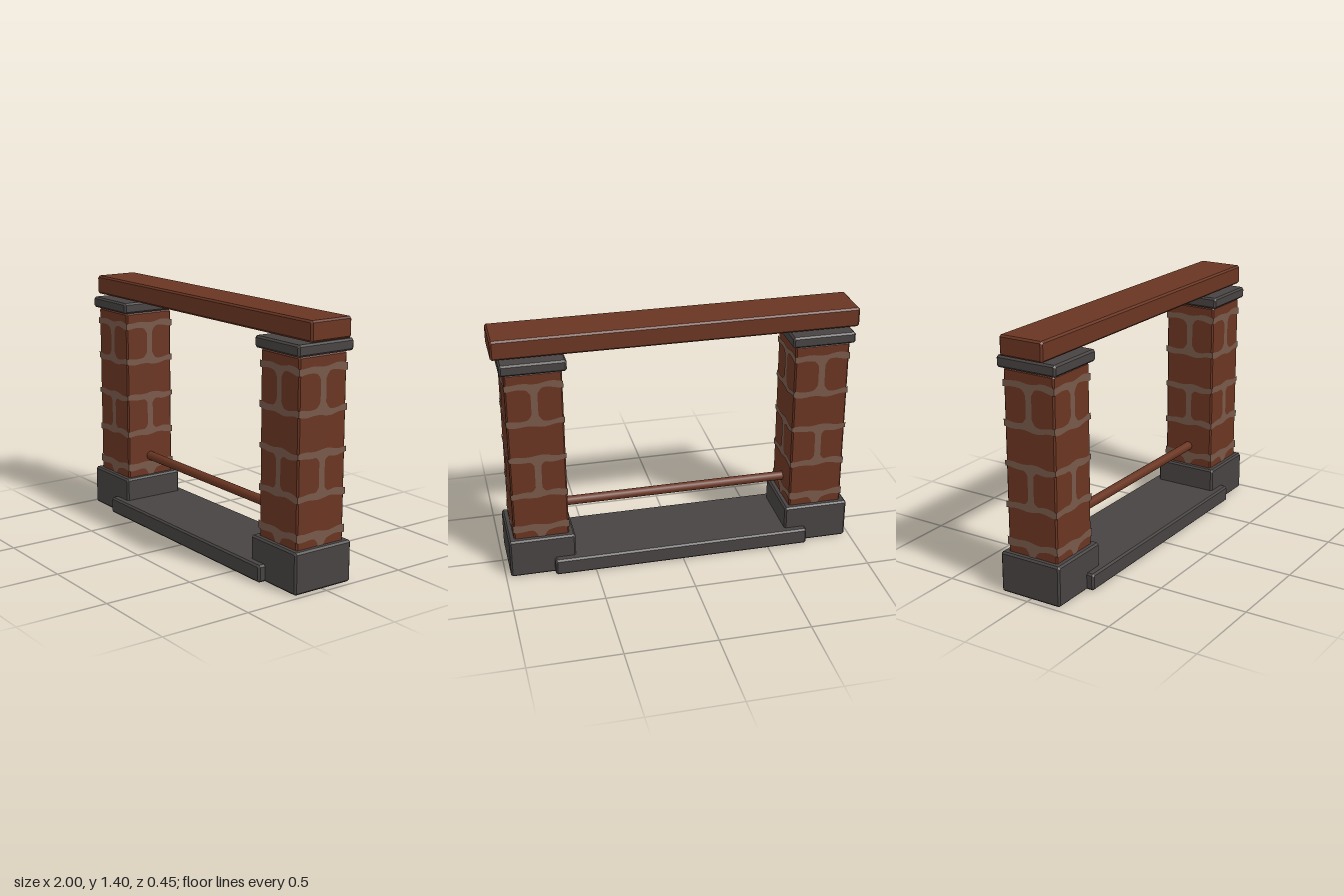
import * as THREE from 'three';

const material = (name, color) => {
  const m = new THREE.MeshStandardMaterial({ color });
  m.name = name;
  return m;
};

// Box with chamfered edges on all sides, centred on its own origin
function chamferBox(w, h, d, b = 0.01) {
  const x = w / 2 - b, y = h / 2 - b, c = b * 0.414;
  const shape = new THREE.Shape([
    [x - c, -y], [x, -y + c], [x, y - c], [x - c, y],
    [-x + c, y], [-x, y - c], [-x, -y + c], [-x + c, -y],
  ].map(([px, py]) => new THREE.Vector2(px, py)));
  const geo = new THREE.ExtrudeGeometry(shape, {
    depth: d - 2 * b, bevelEnabled: true, bevelSize: b, bevelThickness: b, bevelSegments: 1,
  });
  return geo.translate(0, 0, -d / 2 + b);
}

// Uneven mortar: two wavy bed joints linked by a flared vertical joint
function mortarShape(half, top, bottom, band, closed) {
  const stem = 0.018, flare = 0.03, steps = 12, pts = [];
  const wave = (x, k) => 0.005 * Math.sin((x / half) * Math.PI * 2 + k) + 0.003 * Math.cos((x / half) * Math.PI + k);
  const edge = (x0, x1, y, k) => {
    for (let i = 0; i <= steps; i++) {
      const x = x0 + ((x1 - x0) * i) / steps;
      const near = Math.max(0, 1 - (Math.abs(x) - stem) / flare);
      const pull = k.flare ? k.flare * near * near * flare : 0;
      pts.push(new THREE.Vector2(x, y + wave(x, k.phase) + pull));
    }
  };
  const upper = top - band;
  edge(-half, half, top, { phase: top * 9 });
  edge(half, stem, upper, { phase: top * 9 + 1, flare: -1 });
  if (closed) {
    const lower = bottom + band;
    edge(stem, half, lower, { phase: bottom * 9, flare: 1 });
    edge(half, -half, bottom, { phase: bottom * 9 + 1 });
    edge(-half, -stem, lower, { phase: bottom * 9, flare: 1 });
  } else {
    pts.push(new THREE.Vector2(stem, bottom), new THREE.Vector2(-stem, bottom));
  }
  edge(-stem, -half, upper, { phase: top * 9 + 1, flare: -1 });
  return new THREE.Shape(pts);
}

export function createModel() {
  const brick = material('redBrownBrick', 0x6a3522);
  const stone = material('darkStone', 0x474342);
  const mortar = material('mortar', 0x785949);
  const model = new THREE.Group();
  model.name = 'brickFrame';

  const add = (parent, name, geo, mat, x = 0, y = 0, z = 0) => {
    const mesh = new THREE.Mesh(geo, mat);
    mesh.name = name;
    mesh.position.set(x, y, z);
    parent.add(mesh);
    return mesh;
  };

  // Hearth slab, lintel beam and cross rod
  add(model, 'hearthSlab', chamferBox(1.455, 0.094, 0.45), stone, 0, 0.05);
  add(model, 'lintelBeam', chamferBox(2, 0.108, 0.258), brick, 0, 1.346);
  const rod = add(model, 'crossRod', new THREE.CylinderGeometry(0.026, 0.026, 1.3, 16), brick, 0, 0.342);
  rod.rotation.z = Math.PI / 2;

  // Mortar joints shared by every pillar face
  const half = 0.156;
  const joints = new THREE.ShapeGeometry([
    mortarShape(half, 1.16, 0.91, 0.034, true),
    mortarShape(half, 0.73, 0.478, 0.034, true),
    mortarShape(half, 0.308, 0.22, 0.04, false),
  ]);

  // Two pillars with plinth and capstone
  for (const side of [1, -1]) {
    const pillar = new THREE.Group();
    pillar.name = side > 0 ? 'leftPillar' : 'rightPillar';
    pillar.position.x = side * 0.789;
    add(pillar, 'plinth', chamferBox(0.368, 0.226, 0.368), stone, 0, 0.114);
    add(pillar, 'brickColumn', chamferBox(0.306, 1.02, 0.306, 0.008), brick, 0, 0.706);
    add(pillar, 'capstone', chamferBox(0.353, 0.062, 0.356), stone, 0, 1.25);
    for (let i = 0; i < 4; i++) {
      const face = new THREE.Group();
      face.name = 'mortarFace';
      face.rotation.y = (i * Math.PI) / 2;
      add(face, 'mortarJoints', joints, mortar, 0, 0, half);
      pillar.add(face);
    }
    model.add(pillar);
  }
  return model;
}
